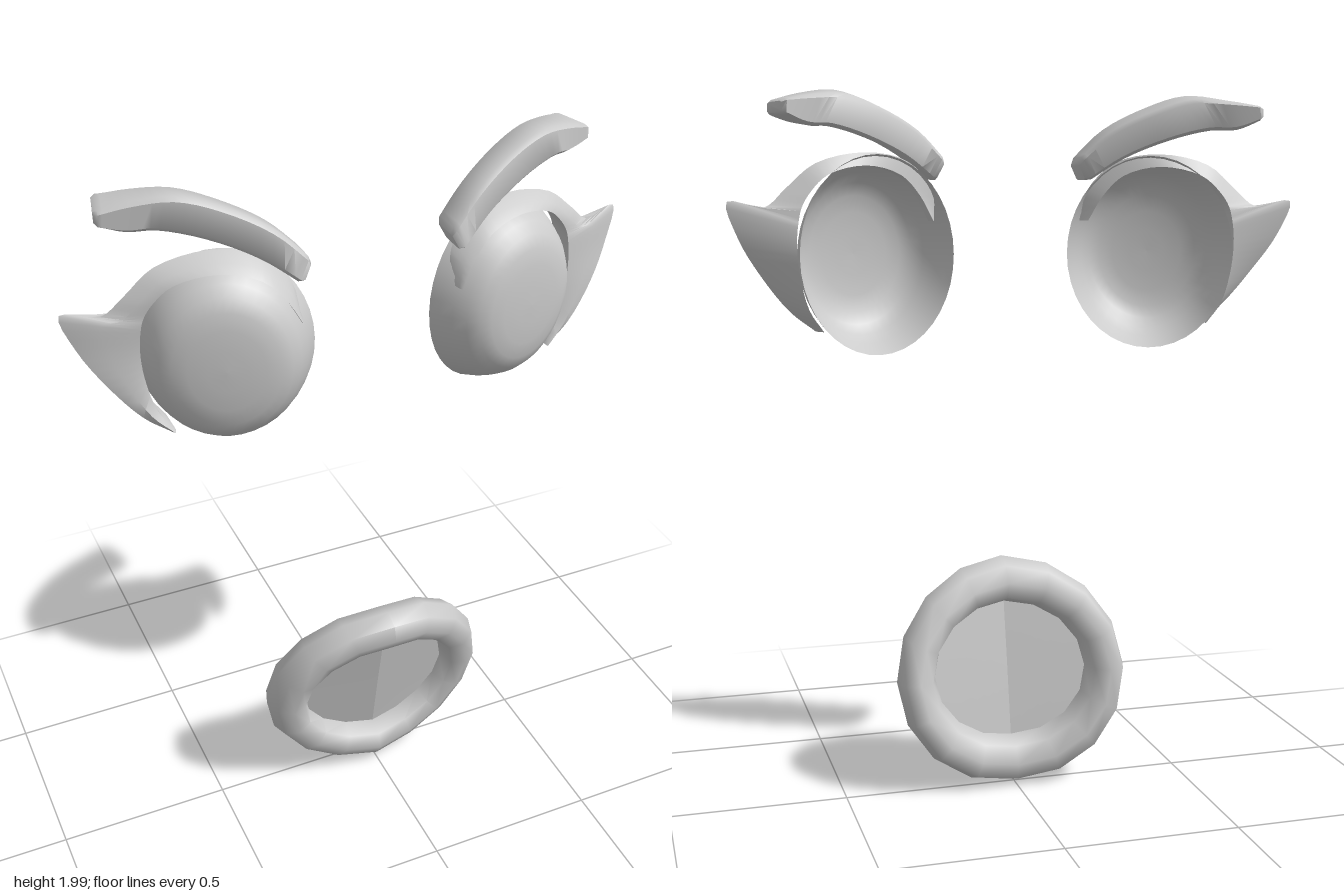
import * as THREE from 'three';
import { toCreasedNormals } from 'three/addons/utils/BufferGeometryUtils.js';

const grey = new THREE.MeshStandardMaterial({ color: 0xcccccc });
const thin = new THREE.MeshStandardMaterial({ color: 0xcccccc, side: THREE.DoubleSide });

const V = (x, y, z) => new THREE.Vector3(x, y, z);
const curve = (pts) => new THREE.CatmullRomCurve3(pts);

function mesh(name, geometry, material) {
  const m = new THREE.Mesh(geometry, material);
  m.name = name;
  return m;
}

// Skin a row of closed cross-sections and cap both ends
function loft(sections, crease) {
  const n = sections[0].length, last = (sections.length - 1) * n, index = [];
  for (let i = 0; i < sections.length - 1; i++) {
    for (let j = 0; j < n; j++) {
      const a = i * n + j, b = i * n + (j + 1) % n;
      index.push(a, b, a + n, b, b + n, a + n);
    }
  }
  for (let k = 1; k < n - 1; k++) index.push(0, k + 1, k, last, last + k, last + k + 1);
  const g = new THREE.BufferGeometry().setFromPoints(sections.flat());
  g.setIndex(index);
  return toCreasedNormals(g, crease);
}

// Open-backed oval dome, turned slightly outward
function eyeball() {
  const profile = [[0.235, 0], [0.226, 0.03], [0.212, 0.065], [0.193, 0.1], [0.17, 0.126],
    [0.14, 0.142], [0.1, 0.15], [0.05, 0.154], [0, 0.155]].map(([r, h]) => new THREE.Vector2(r, h));
  const g = new THREE.LatheGeometry(profile, 40).rotateX(Math.PI / 2).scale(1, 1.15, 1);
  const m = mesh('eyeball', g, thin);
  m.position.set(0.39, 1.56, -0.04);
  m.rotation.y = 0.3;
  return m;
}

// Lid wrapping the outer side and top of the eye, drawn out into a pointed lash
function eyelid() {
  // inner x, y, outer x, y, z
  const rows = [
    [0.55, 1.36, 0.56, 1.355, 0.0], [0.59, 1.42, 0.63, 1.41, -0.01],
    [0.615, 1.52, 0.71, 1.51, -0.035], [0.62, 1.6, 0.77, 1.61, -0.07],
    [0.615, 1.65, 0.798, 1.705, -0.09], [0.605, 1.69, 0.7, 1.69, -0.07],
    [0.58, 1.73, 0.64, 1.74, -0.055], [0.53, 1.775, 0.56, 1.805, -0.05],
    [0.42, 1.8, 0.42, 1.835, -0.03], [0.32, 1.775, 0.3, 1.812, 0],
    [0.265, 1.72, 0.225, 1.735, 0.03], [0.225, 1.65, 0.215, 1.65, 0.06]];
  const innerZ = (x) => 0.046 - (x - 0.41) * 0.31;
  const inner = curve(rows.map(([x, y]) => V(x, y, innerZ(x))));
  const outer = curve(rows.map(([, , x, y, z]) => V(x, y, z)));
  const sections = [];
  for (let i = 0; i <= 44; i++) {
    const a = inner.getPoint(i / 44), o = outer.getPoint(i / 44);
    const swell = a.clone().lerp(o, 0.5).add(V(0, 0, 0.012));
    sections.push([a, swell, o, a.clone().add(V(0, 0, -0.085))]);
  }
  return mesh('eyelid', loft(sections, 0.8), grey);
}

// Arched bar with softened edges, sweeping up and back
function eyebrow() {
  const top = [V(0.19, 1.815, 0.1), V(0.28, 1.905, 0.075), V(0.4, 1.97, 0.03),
    V(0.5, 2.0, 0), V(0.6, 1.988, -0.04), V(0.69, 1.962, -0.07)];
  const bottom = [V(0.22, 1.757, 0.11), V(0.32, 1.832, 0.07), V(0.44, 1.888, 0.025),
    V(0.55, 1.915, -0.015), V(0.62, 1.91, -0.045), V(0.69, 1.928, -0.07)];
  const back = (pts) => pts.map((p, i) =>
    p.clone().add(V(-0.006 * i, -0.02 * Math.sin(Math.PI * i / 5), -0.1 - 0.006 * i)));
  const rails = [top, bottom, back(bottom), back(top)].map(curve);
  const stops = [0, 0.025];
  for (let i = 1; i < 20; i++) stops.push(i / 20);
  stops.push(0.975, 1);
  const sections = stops.map((t) => {
    const c = rails.map((r) => r.getPoint(t));
    const mid = c.reduce((s, p) => s.add(p), V(0, 0, 0)).multiplyScalar(0.25);
    const size = t === 0 || t === 1 ? 0.78 : 1;
    return c.flatMap((p, j) => {
      const q = c[(j + 1) % 4];
      return [p.clone().lerp(q, 0.12), p.clone().lerp(q, 0.88)];
    }).map((p) => p.sub(mid).multiplyScalar(size).add(mid));
  });
  return mesh('eyebrow', loft(sections, 0.9), grey);
}

// Lean the mouth forward at the top and fold it back from the centre line
function bendMouth(g) {
  const p = g.attributes.position;
  for (let i = 0; i < p.count; i++) {
    const t = p.getY(i) / 0.26;
    p.setZ(i, p.getZ(i) + 0.07 + 0.0525 * t + 0.0025 * t * t - 0.15 * Math.abs(p.getX(i)));
  }
  g.translate(0, 0.335, 0);
  g.computeVertexNormals();
  return g;
}

function mouth() {
  const group = new THREE.Group();
  group.name = 'mouth';

  // Lips: coarse oval ring
  const ring = new THREE.TorusGeometry(1, 0.5, 8, 16);
  const p = ring.attributes.position;
  for (let i = 0; i < p.count; i++) {
    const x = p.getX(i), y = p.getY(i), r = Math.hypot(x, y), off = (r - 1) * 2;
    p.setXYZ(i, x / r * (0.287 + 0.058 * off), y / r * (0.26 + 0.066 * off), p.getZ(i) * 0.15);
  }
  group.add(mesh('lips', toCreasedNormals(bendMouth(ring), 1.0), grey));

  // Panel closing the opening
  const panel = new THREE.CircleGeometry(1, 32).scale(0.24, 0.205, 1);
  group.add(mesh('mouthPanel', toCreasedNormals(bendMouth(panel), 0.1), thin));
  return group;
}

export function createModel() {
  const model = new THREE.Group();
  model.name = 'face';
  for (const [side, sign] of [['left', 1], ['right', -1]]) {
    const half = new THREE.Group();
    half.name = side + 'EyeAndBrow';
    half.add(eyeball(), eyelid(), eyebrow());
    half.scale.x = sign;
    model.add(half);
  }
  model.add(mouth());
  return model;
}
